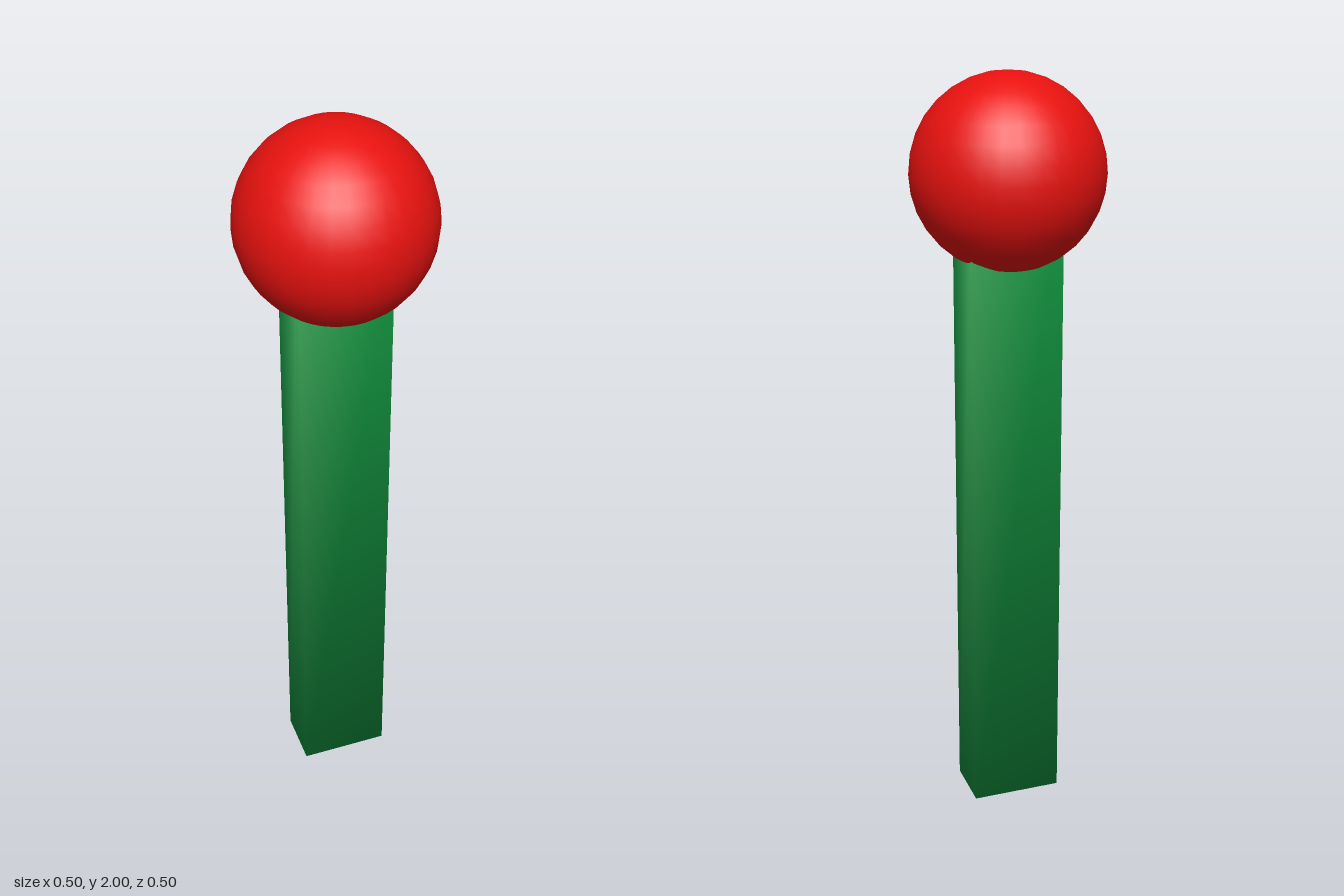
import * as THREE from 'three';

const part = (name, geometry, color, y) => {
  const mesh = new THREE.Mesh(geometry, new THREE.MeshStandardMaterial({ color }));
  mesh.name = name;
  mesh.position.y = y;
  return mesh;
};

// Box whose corner normals are shared by the three faces, so it shades softly
function softBox(width, height, depth) {
  const geometry = new THREE.BoxGeometry(width, height, depth);
  const { position, normal } = geometry.attributes;
  const n = new THREE.Vector3();
  for (let i = 0; i < position.count; i++) {
    n.fromBufferAttribute(position, i);
    n.set(Math.sign(n.x), Math.sign(n.y), Math.sign(n.z)).normalize();
    normal.setXYZ(i, n.x, n.y, n.z);
  }
  return geometry;
}

export function createModel() {
  const model = new THREE.Group();
  model.name = 'ballOnPost';

  // Post reaches up into the middle of the ball
  const postHeight = 1.75;
  model.add(part('post', softBox(0.245, postHeight, 0.155), 0x129540, postHeight / 2));

  // Ball on top
  model.add(part('ball', new THREE.SphereGeometry(0.25, 32, 16), 0xe8120f, 1.75));

  return model;
}
